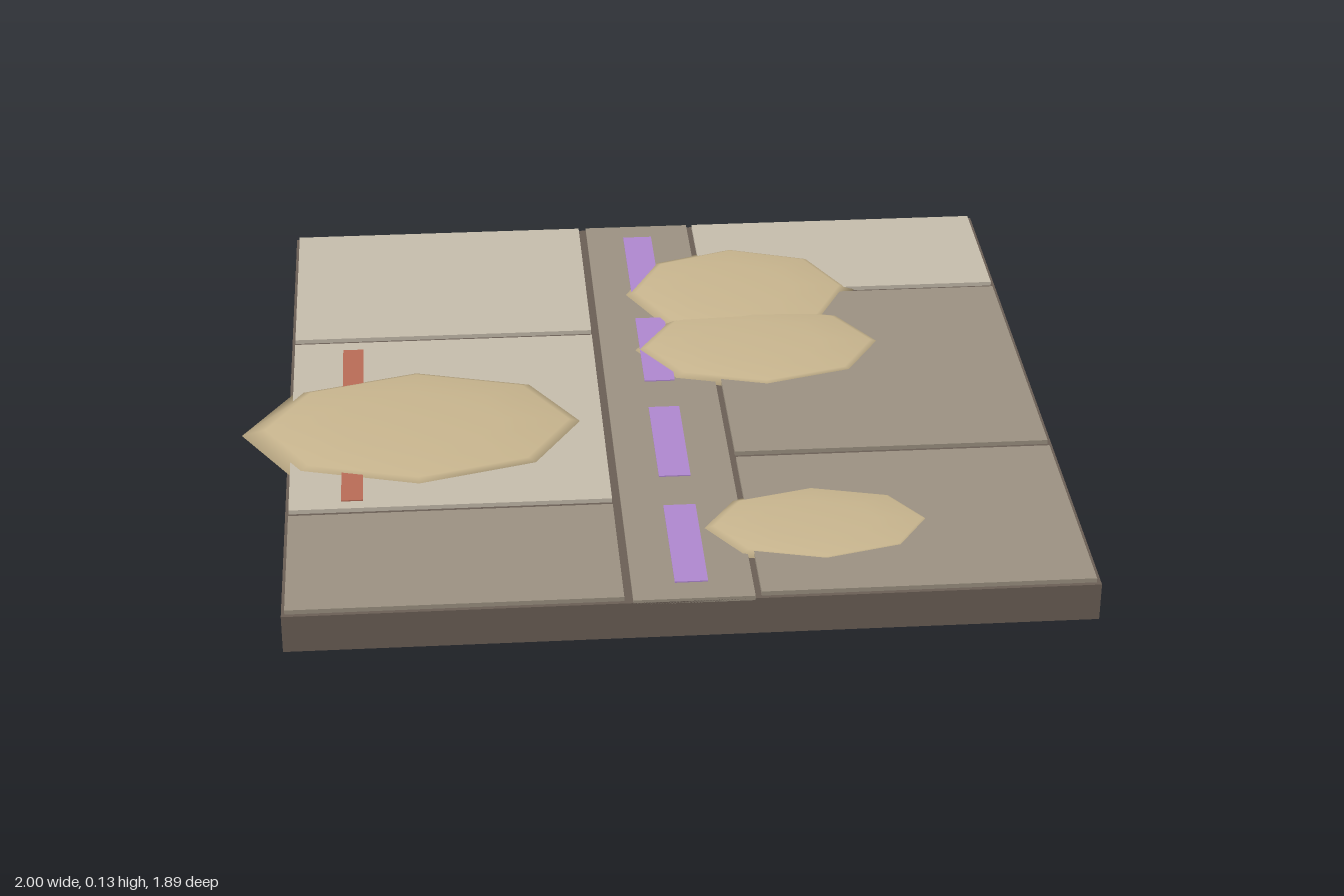
import * as THREE from 'three';

const mat = (name, color) => {
  const m = new THREE.MeshStandardMaterial({ color });
  m.name = name;
  return m;
};

export function createModel() {
  const root = new THREE.Group();
  root.name = 'sandyPavement';

  const stone = mat('dark stone', 0x6b5f56);
  const paleSlab = mat('pale slab', 0xc6bdac);
  const greySlab = mat('grey slab', 0x9c9282);
  const sand = mat('sand', 0xc9b68f);
  const purple = mat('purple paint', 0xb088d0);
  const red = mat('rust red paint', 0xb96c57);

  // Box given by its extents on each axis
  const block = (name, material, x0, x1, y0, y1, z0, z1) => {
    const mesh = new THREE.Mesh(new THREE.BoxGeometry(x1 - x0, y1 - y0, z1 - z0), material);
    mesh.position.set((x0 + x1) / 2, (y0 + y1) / 2, (z0 + z1) / 2);
    mesh.name = name;
    root.add(mesh);
  };

  // Foundation and central lane
  block('base', stone, -0.885, 0.995, 0, 0.095, -0.943, 0.943);
  block('lane', greySlab, -0.085, 0.195, 0.09, 0.102, -0.943, 0.943);

  // Paving slabs either side of the lane, with open joints between them
  const slabs = [
    [-0.877, -0.105, -0.935, -0.343, paleSlab],
    [-0.877, -0.105, -0.318, 0.502, paleSlab],
    [-0.877, -0.105, 0.527, 0.933, greySlab],
    [0.21, 0.985, -0.935, -0.537, paleSlab],
    [0.21, 0.985, -0.512, 0.305, greySlab],
    [0.21, 0.985, 0.33, 0.933, greySlab],
  ];
  for (const [x0, x1, z0, z1, m] of slabs) block('slab', m, x0, x1, 0.09, 0.106, z0, z1);

  // Painted lane dashes and the red stripe
  for (let i = 0; i < 4; i++) {
    const z = -0.705 + i * 0.471;
    block('laneDash', purple, 0.015, 0.092, 0.1, 0.105, z - 0.168, z + 0.168);
  }
  block('redStripe', red, -0.752, -0.7, 0.104, 0.109, -0.275, 0.47);

  // Low sand drifts: flattened eight-sided domes sunk into the paving
  const drifts = [
    [-0.565, 0.128, 0.435, 0.03, 0.293],
    [0.3, -0.54, 0.315, 0.023, 0.26],
    [0.325, -0.232, 0.337, 0.024, 0.225],
    [0.375, 0.645, 0.287, 0.019, 0.176],
  ];
  for (const [x, z, rx, ry, rz] of drifts) {
    const drift = new THREE.Mesh(new THREE.SphereGeometry(1, 8, 6), sand);
    drift.scale.set(rx, ry, rz);
    drift.position.set(x, 0.098, z);
    drift.name = 'sandDrift';
    root.add(drift);
  }
  return root;
}
